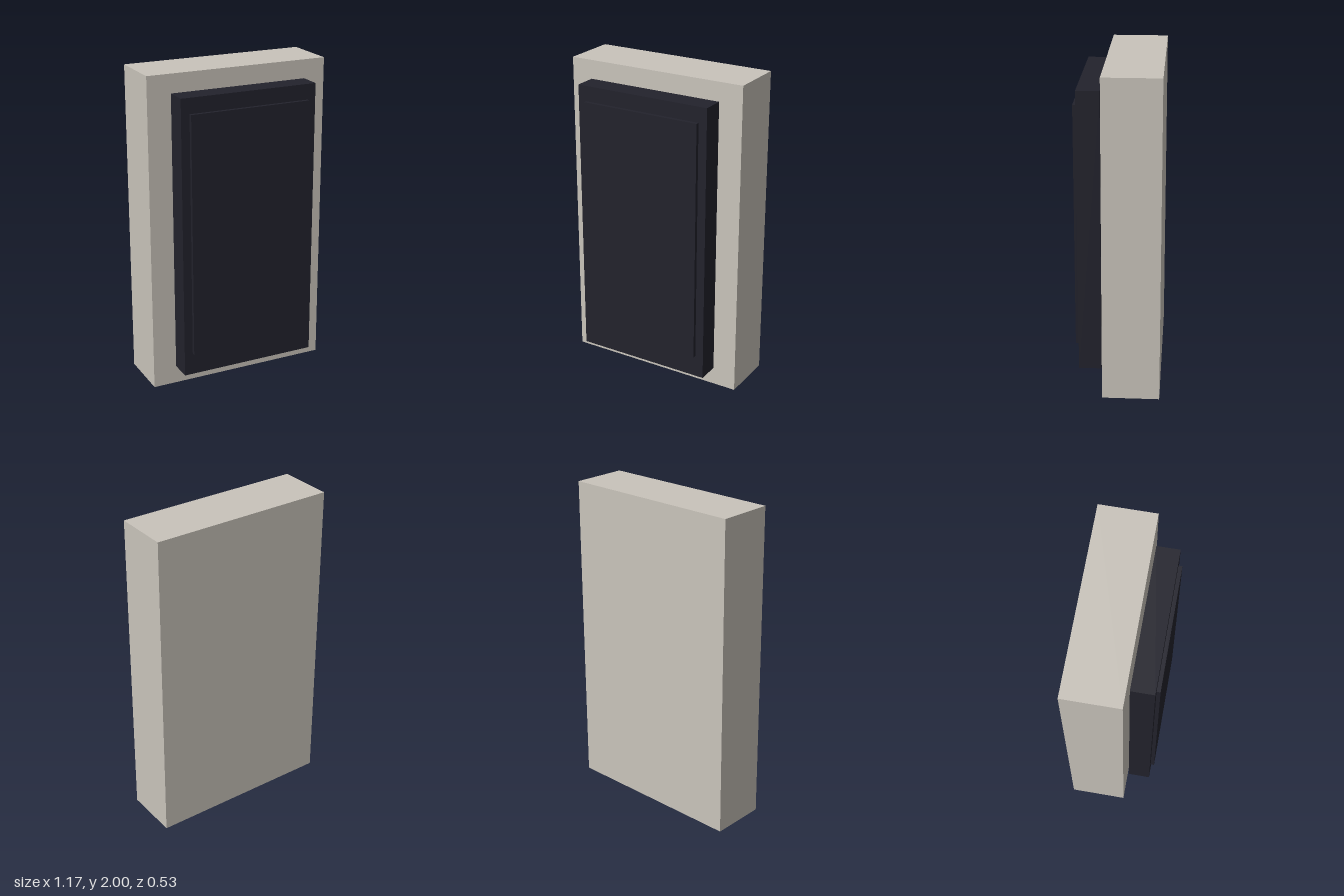
import * as THREE from 'three';

export function createModel() {
  const model = new THREE.Group();
  const stone = new THREE.MeshStandardMaterial({ color: 0xc9c4bb });
  stone.name = 'warm grey';
  const dark = new THREE.MeshStandardMaterial({ color: 0x22222c });
  dark.name = 'dark navy';

  // Box symmetric in x, given by its half width and its y and z limits
  function slab(name, halfWidth, y0, y1, z0, z1, material) {
    const geometry = new THREE.BoxGeometry(halfWidth * 2, y1 - y0, z1 - z0);
    const mesh = new THREE.Mesh(geometry, material);
    mesh.name = name;
    mesh.position.set(0, (y0 + y1) / 2, (z0 + z1) / 2);
    model.add(mesh);
  }

  // Thick backing block
  slab('wallBlock', 0.587, 0, 2, -0.263, 0.087, stone);
  // Dark slab floating just in front of the block
  slab('frontSlab', 0.442, 0.122, 1.886, 0.1, 0.24, dark);
  // Shallow raised panel on the slab
  slab('raisedPanel', 0.388, 0.264, 1.79, 0.24, 0.263, dark);

  return model;
}
